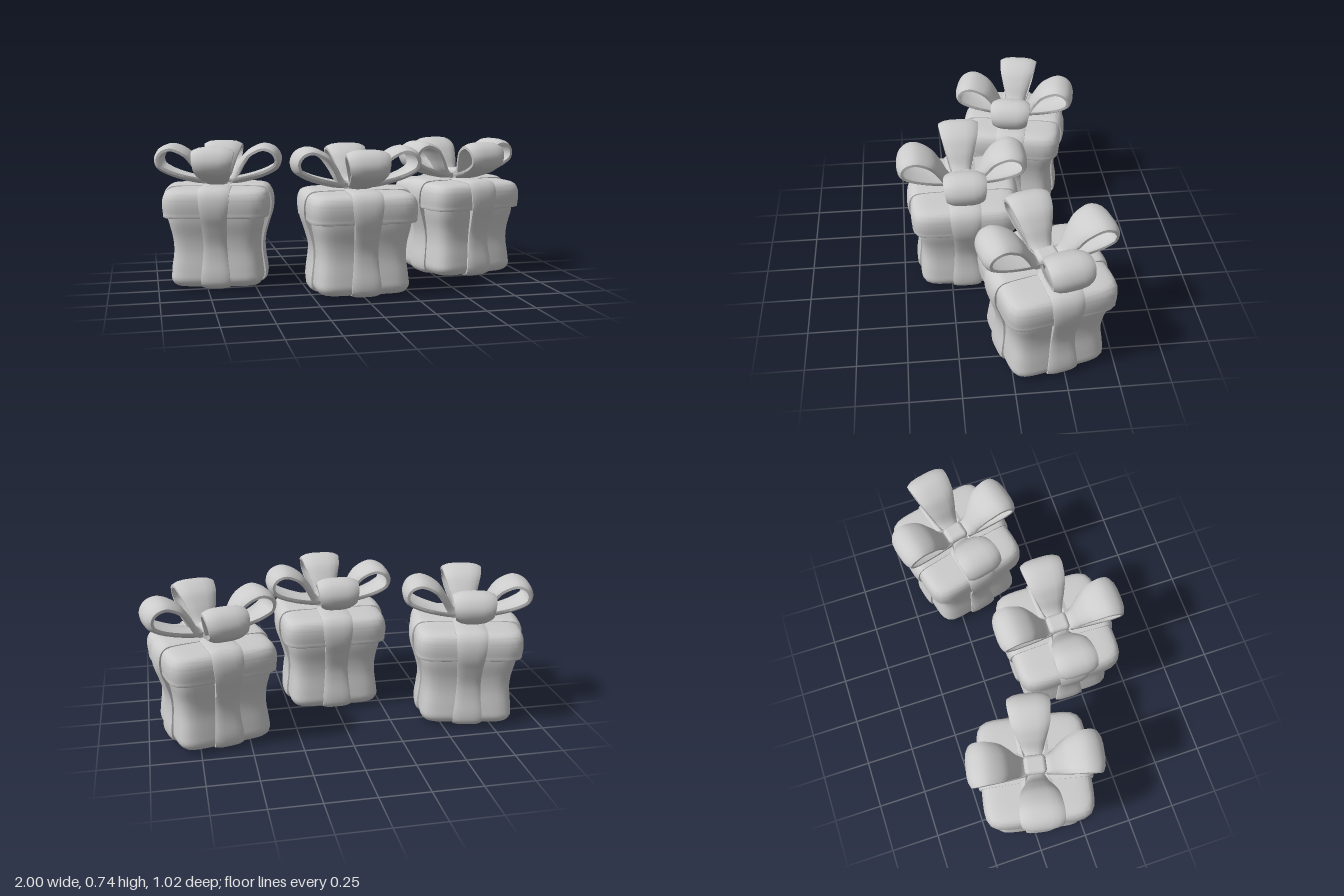
import * as THREE from 'three';
import { toCreasedNormals } from 'three/addons/utils/BufferGeometryUtils.js';
import { RoundedBoxGeometry } from 'three/addons/geometries/RoundedBoxGeometry.js';

const material = new THREE.MeshStandardMaterial({ color: 0xcccccc });

// Skin a row of equal-length, closed cross-sections
function loft(rings, closed = false) {
  const n = rings[0].length, m = rings.length, index = [];
  for (let i = 0; i < (closed ? m : m - 1); i++) {
    for (let j = 0; j < n; j++) {
      const a = i * n + j, b = i * n + (j + 1) % n;
      const c = ((i + 1) % m) * n + j, d = ((i + 1) % m) * n + (j + 1) % n;
      index.push(a, b, c, b, d, c);
    }
  }
  const g = new THREE.BufferGeometry().setFromPoints(rings.flat());
  g.setIndex(index);
  return toCreasedNormals(g, 0.8);
}

const curveOf = (points, closed = false) =>
  new THREE.CatmullRomCurve3(points.map(p => new THREE.Vector3(...p)), closed);

// Rounded-square solid from a profile of [half width, height], slightly pinched under the ribbons
function softBox(profile) {
  const pts = curveOf(profile.map(([h, y]) => [h, y, 0])).getPoints(profile.length * 4);
  return loft(pts.map(({ x: h, y }) => {
    const ring = [];
    for (let k = 0; k < 64; k++) {
      const t = k / 64 * Math.PI * 2, c = Math.cos(t), s = Math.sin(t), p = 7;
      const r = Math.max(h, 0) / Math.pow(Math.abs(c) ** p + Math.abs(s) ** p, 1 / p)
        * (1 - 0.02 * Math.cos(2 * t) ** 8);
      ring.push(new THREE.Vector3(r * c, y, -r * s));
    }
    return ring;
  }));
}

// Crowned band along a clockwise path of [reach, height, half width]
function band(path, closed, thickness, crown, steps) {
  const curve = curveOf(path, closed), rings = [];
  for (let i = 0; i < (closed ? steps : steps + 1); i++) {
    const p = curve.getPoint(i / steps), t = curve.getTangent(i / steps);
    const len = Math.hypot(t.x, t.y), nx = -t.y / len, ny = t.x / len;
    const ring = [];
    for (const [side, depth] of [[1, 0], [-1, thickness]]) {
      for (let k = -4; k <= 4; k++) {
        const s = Math.sin(side * k / 4 * Math.PI / 2);
        const d = -depth - crown * s ** 4;
        ring.push(new THREE.Vector3(p.x + nx * d, p.y + ny * d, s * p.z));
      }
    }
    rings.push(ring);
  }
  return loft(rings, closed);
}

const bodyGeometry = softBox([[0, 0.015], [0.19, 0.015], [0.22, 0.022], [0.238, 0.05],
  [0.236, 0.1], [0.225, 0.2], [0.229, 0.27], [0.245, 0.35], [0.25, 0.4]]);

const lidGeometry = softBox([[0.22, 0.38], [0.262, 0.38], [0.271, 0.381], [0.273, 0.4], [0.276, 0.44],
  [0.272, 0.48], [0.257, 0.508], [0.225, 0.521], [0.12, 0.525], [0, 0.525]]);

// Ribbon: one half of the wrap, mirrored into a closed belt
const halfWrap = [[0.2, 0.537, 0.08], [0.25, 0.53, 0.08], [0.28, 0.5, 0.078], [0.292, 0.45, 0.075],
  [0.287, 0.39, 0.068], [0.268, 0.33, 0.063], [0.244, 0.24, 0.06], [0.243, 0.17, 0.064],
  [0.256, 0.07, 0.074], [0.25, 0.03, 0.074], [0.22, 0.008, 0.072]];
const wrap = [[0, 0.535, 0.075], ...halfWrap, [0, 0.003, 0.07],
  ...halfWrap.map(([r, y, w]) => [-r, y, w]).reverse()];
const ribbonGeometry = band(wrap, true, 0.03, 0.009, 96);

// Bow loop: rises from the knot, curls over and returns along the lid
const loopGeometry = band([[0.02, 0.54, 0.045], [0.065, 0.575, 0.055], [0.105, 0.645, 0.075],
  [0.155, 0.708, 0.094], [0.24, 0.744, 0.105], [0.305, 0.722, 0.106], [0.334, 0.67, 0.1],
  [0.322, 0.618, 0.094], [0.28, 0.587, 0.088], [0.2, 0.556, 0.075], [0.1, 0.533, 0.06],
  [0.02, 0.522, 0.045]], false, 0.014, 0.02, 56);

const knotGeometry = new RoundedBoxGeometry(0.095, 0.06, 0.11, 4, 0.022);

function createGift(name) {
  const gift = new THREE.Group();
  gift.name = name;
  const add = (geometry, part, turn = 0, y = 0) => {
    const mesh = new THREE.Mesh(geometry, material);
    mesh.name = part;
    mesh.rotation.y = turn;
    mesh.position.y = y;
    gift.add(mesh);
  };
  add(bodyGeometry, 'boxBody');
  add(lidGeometry, 'boxLid');
  add(ribbonGeometry, 'ribbonAcross');
  add(ribbonGeometry, 'ribbonFrontToBack', Math.PI / 2);
  ['left', 'back', 'right', 'front'].forEach((side, i) => add(loopGeometry, side + 'BowLoop', i * Math.PI / 2));
  add(knotGeometry, 'bowKnot', 0, 0.555);
  return gift;
}

export function createModel() {
  const model = new THREE.Group();
  model.name = 'giftBoxes';
  // name, x, z, turn
  for (const [name, x, z, turn] of [['middleGift', 0, 0.172, 0],
    ['rightGift', -0.665, -0.177, -0.2], ['leftGift', 0.665, -0.177, 0.24]]) {
    const gift = createGift(name);
    gift.position.set(x, 0, z);
    gift.rotation.y = turn;
    model.add(gift);
  }
  return model;
}
